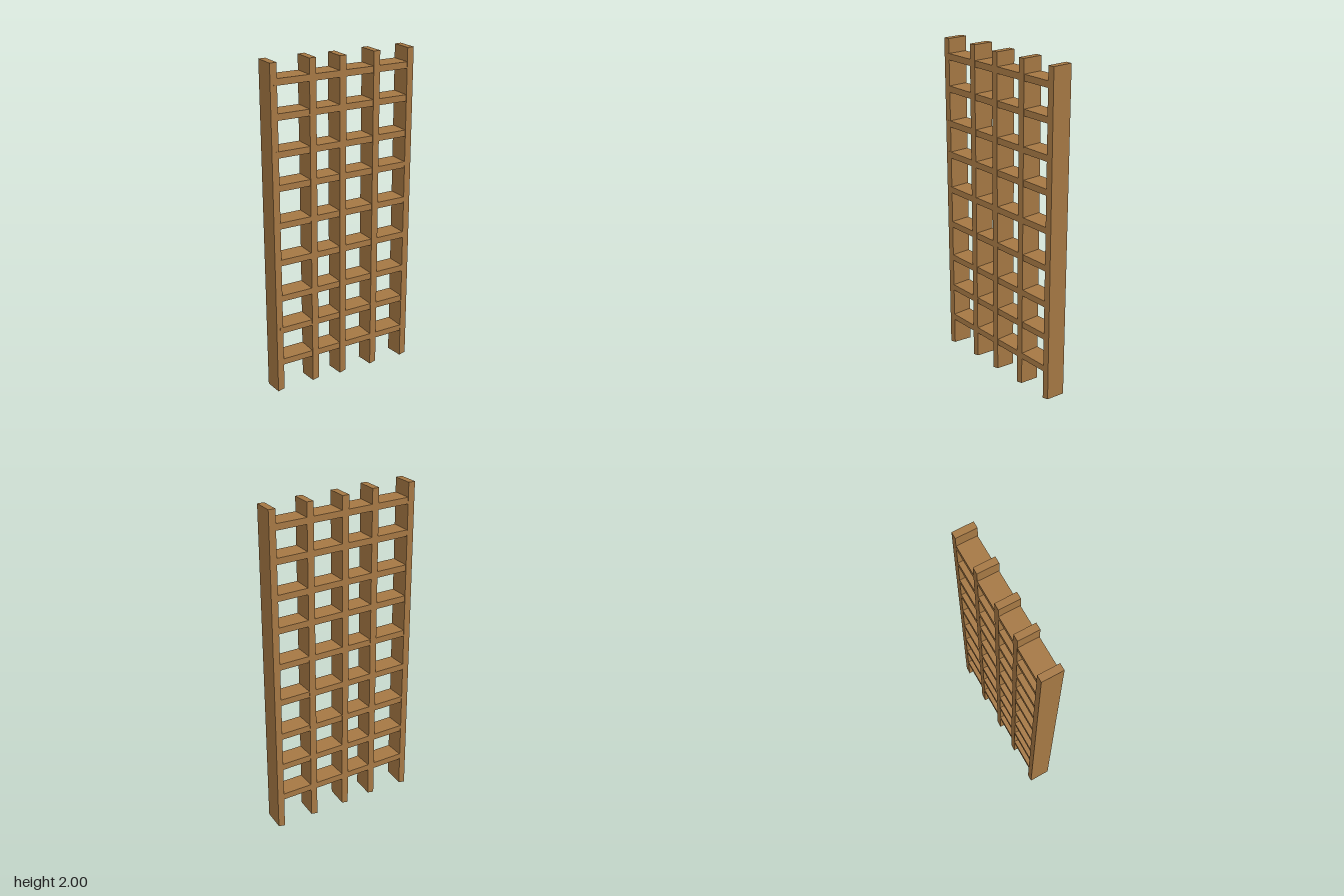
import * as THREE from 'three';

export function createModel() {
  const group = new THREE.Group();
  group.name = 'lattice';
  const wood = new THREE.MeshStandardMaterial({ color: 0xa87a45 });
  wood.name = 'wood';

  // Upright posts: [centre x, top, foot height, centre z]
  const posts = [
    [-0.436, 2.0, 0.017, -0.003],
    [-0.201, 2.0, 0.02, 0],
    [-0.011, 1.99, 0.012, 0],
    [0.208, 1.99, 0.008, 0],
    [0.434, 1.985, 0.002, 0],
  ];
  posts.forEach(([x, top, foot, z], i) => {
    const geo = new THREE.BoxGeometry(0.041, top - foot, 0.126);
    geo.translate(x, (top + foot) / 2, z);
    // Slanted foot, cut higher at the front and on the left side
    const p = geo.attributes.position;
    for (let k = 0; k < p.count; k++) {
      if (p.getY(k) > 1) continue;
      const lift = (p.getZ(k) > 0 ? 0.012 : 0) + (p.getX(k) > x ? 0.008 : 0);
      p.setY(k, foot + lift);
    }
    geo.computeVertexNormals();
    const post = new THREE.Mesh(geo, wood);
    post.name = `post${i + 1}`;
    group.add(post);
  });

  // Cross slats, all dipping slightly towards the left side
  const heights = [0.214, 0.422, 0.628, 0.851, 1.076, 1.298, 1.49, 1.7, 1.89];
  heights.forEach((y, i) => {
    const slat = new THREE.Mesh(new THREE.BoxGeometry(0.87, 0.038, 0.123), wood);
    slat.name = `slat${i + 1}`;
    slat.position.set(0, y, -0.001);
    slat.rotation.z = -0.0125;
    group.add(slat);
  });

  return group;
}
